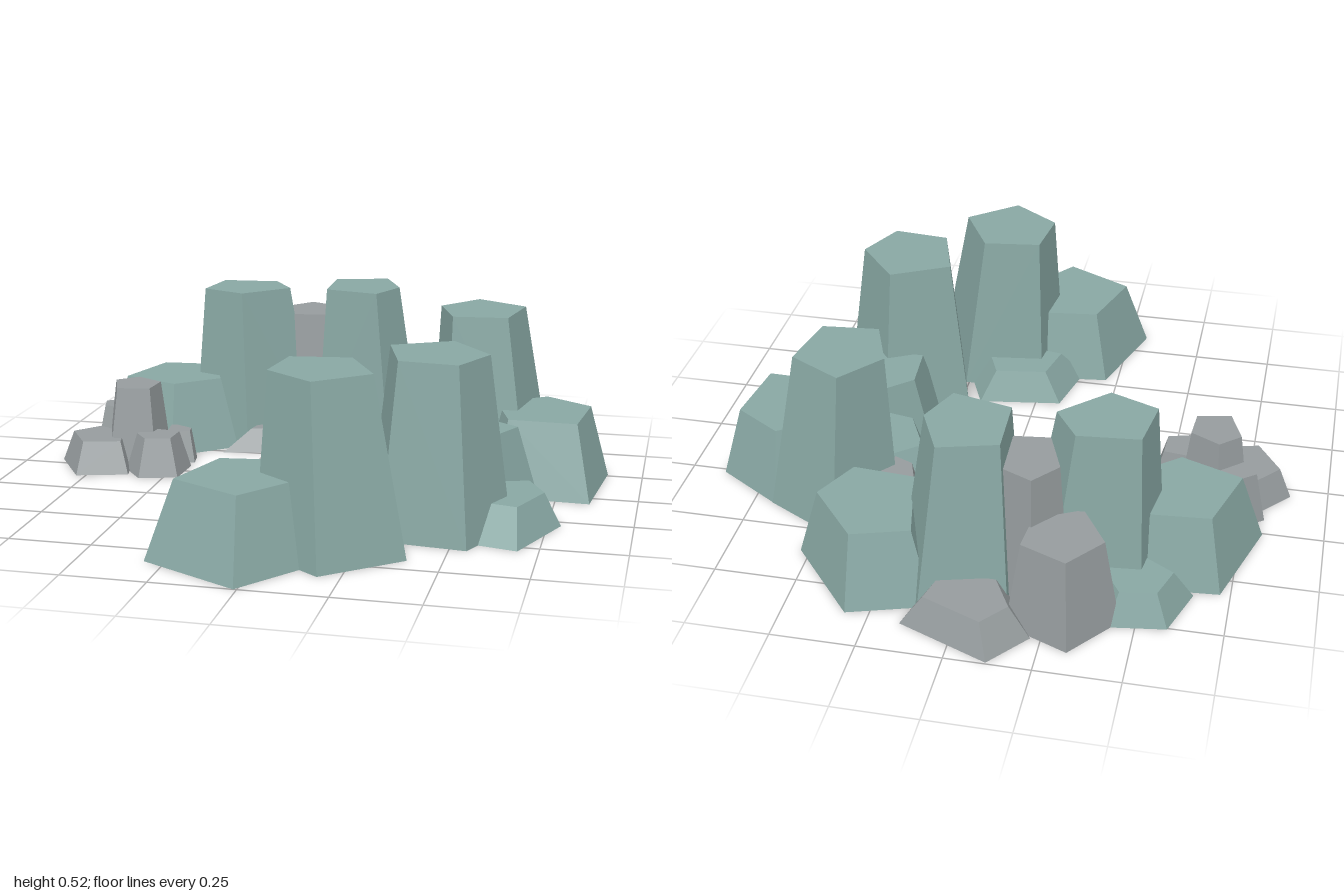
import * as THREE from 'three';
import { ConvexGeometry } from 'three/addons/geometries/ConvexGeometry.js';

const mossy = new THREE.MeshStandardMaterial({ color: 0x88a7a3, flatShading: true });
const stone = new THREE.MeshStandardMaterial({ color: 0x969c9e, flatShading: true });

// Tapered rock: a ground outline [x, z, x, z, ...] shrunk towards its centre and leaned at the top.
function rock(group, name, material, height, outline, taper = 0.72, leanX = 0, leanZ = -0.01) {
  const base = [];
  for (let i = 0; i < outline.length; i += 2) base.push(new THREE.Vector3(outline[i], 0, outline[i + 1]));
  const centre = base.reduce((c, p) => c.add(p), new THREE.Vector3()).divideScalar(base.length);
  const lean = new THREE.Vector3(leanX, height, leanZ);
  const top = base.map((p) => p.clone().sub(centre).multiplyScalar(taper).add(centre).add(lean));
  const mesh = new THREE.Mesh(new ConvexGeometry([...base, ...top]), material);
  mesh.name = name;
  group.add(mesh);
}

export function createModel() {
  const group = new THREE.Group();
  group.name = 'rockRing';

  // Tall pillars
  const tall = (name, outline, leanX, leanZ) => rock(group, name, mossy, 0.52, outline, 0.69, leanX, leanZ);
  tall('tallRockFront', [0, 0.455, 0.26, 0.42, 0.4, 0.68, 0.185, 0.86, -0.03, 0.705], -0.03, -0.015);
  tall('tallRockLeft', [0.21, 0.255, 0.465, 0.12, 0.65, 0.345, 0.55, 0.565, 0.295, 0.54], -0.005, -0.005);
  tall('tallRockBackLeft', [0.455, -0.525, 0.69, -0.395, 0.64, -0.115, 0.39, -0.09, 0.3, -0.33], -0.03, 0);
  tall('tallRockBack', [-0.13, -0.75, 0.12, -0.82, 0.22, -0.6, 0.14, -0.41, -0.12, -0.47], -0.025, 0.01);
  tall('tallRockBackRight', [-0.5, -0.635, -0.235, -0.66, -0.13, -0.5, -0.325, -0.31, -0.535, -0.395], -0.025, 0);

  // Broad shoulder rocks
  const broad = (name, outline) => rock(group, name, mossy, 0.23, outline, 0.7);
  broad('broadRockFront', [-0.21, 0.53, 0.03, 0.5, 0.2, 0.72, -0.01, 1.0, -0.31, 0.845]);
  broad('broadRockLeft', [0.68, -0.4, 0.89, -0.265, 0.855, 0.06, 0.55, 0.05, 0.46, -0.25]);
  broad('broadRockBackLeft', [0.32, -0.865, 0.53, -0.61, 0.43, -0.4, 0.16, -0.42, 0.08, -0.79]);
  broad('broadRockRight', [-0.72, -0.57, -0.47, -0.59, -0.36, -0.31, -0.545, -0.15, -0.815, -0.255]);
  broad('broadRockInner', [0.285, 0.03, 0.45, -0.12, 0.7, 0.05, 0.6, 0.25, 0.3, 0.25]);

  // Low mossy rocks
  const low = (name, height, outline) => rock(group, name, mossy, height, outline, 0.62);
  low('lowRockLeft', 0.1, [0.7, 0.11, 0.79, 0.285, 0.69, 0.535, 0.53, 0.5, 0.56, 0.15]);
  low('lowRockFront', 0.1, [-0.08, 0.35, 0.185, 0.31, 0.245, 0.455, 0.1, 0.6, -0.13, 0.56]);
  low('lowRockBackRight', 0.1, [-0.59, -0.755, -0.42, -0.78, -0.32, -0.62, -0.5, -0.5, -0.645, -0.59]);
  low('lowRockInner', 0.15, [0.19, -0.23, 0.32, -0.34, 0.52, -0.15, 0.46, 0.03, 0.3, 0]);

  // Grey stones: cluster at the right end
  const grey = (name, height, outline, taper) => rock(group, name, stone, height, outline, taper);
  grey('endStoneTall', 0.26, [-0.76, -0.13, -0.67, -0.21, -0.54, -0.14, -0.55, 0, -0.7, 0.03], 0.69);
  grey('endStoneOuter', 0.1, [-0.885, -0.04, -0.79, -0.15, -0.65, -0.06, -0.62, 0.08, -0.78, 0.125]);
  grey('endStoneInner', 0.12, [-0.6, -0.08, -0.45, -0.06, -0.455, 0.075, -0.575, 0.11, -0.645, 0.02], 0.65);
  grey('endStoneBack', 0.17, [-0.815, -0.18, -0.72, -0.255, -0.6, -0.22, -0.62, -0.08, -0.79, -0.09], 0.68);
  grey('endPebble', 0.1, [-0.58, -0.22, -0.46, -0.16, -0.45, -0.1, -0.56, -0.06], 0.65);

  // Grey stones: behind and between the back pillars
  grey('backStoneTall', 0.28, [-0.455, -0.75, -0.33, -0.91, -0.14, -0.83, -0.155, -0.655, -0.34, -0.56]);
  grey('backStoneLow', 0.1, [-0.12, -0.995, 0.155, -0.88, 0.11, -0.7, -0.13, -0.7, -0.22, -0.87], 0.65);
  grey('gapStone', 0.43, [-0.29, -0.64, -0.2, -0.75, -0.07, -0.69, -0.06, -0.47, -0.22, -0.45], 0.74);

  // Grey stones: along the inner curve
  grey('innerStoneFlat', 0.07, [-0.39, -0.23, -0.09, -0.31, 0.02, -0.36, 0, -0.56, -0.34, -0.54], 0.65);
  grey('innerStoneCentre', 0.1, [-0.16, -0.39, -0.08, -0.49, 0.13, -0.45, 0.13, -0.27, 0, -0.275, -0.09, -0.29], 0.68);
  grey('innerStoneLeft', 0.1, [0.1, -0.36, 0.22, -0.46, 0.31, -0.37, 0.24, -0.23, 0.13, -0.26], 0.65);
  grey('innerStoneTall', 0.15, [0.2, -0.39, 0.32, -0.47, 0.4, -0.4, 0.33, -0.23, 0.24, -0.27], 0.65);
  grey('leftPebble', 0.1, [0.33, -0.47, 0.51, -0.57, 0.52, -0.42, 0.38, -0.33], 0.6);

  return group;
}
